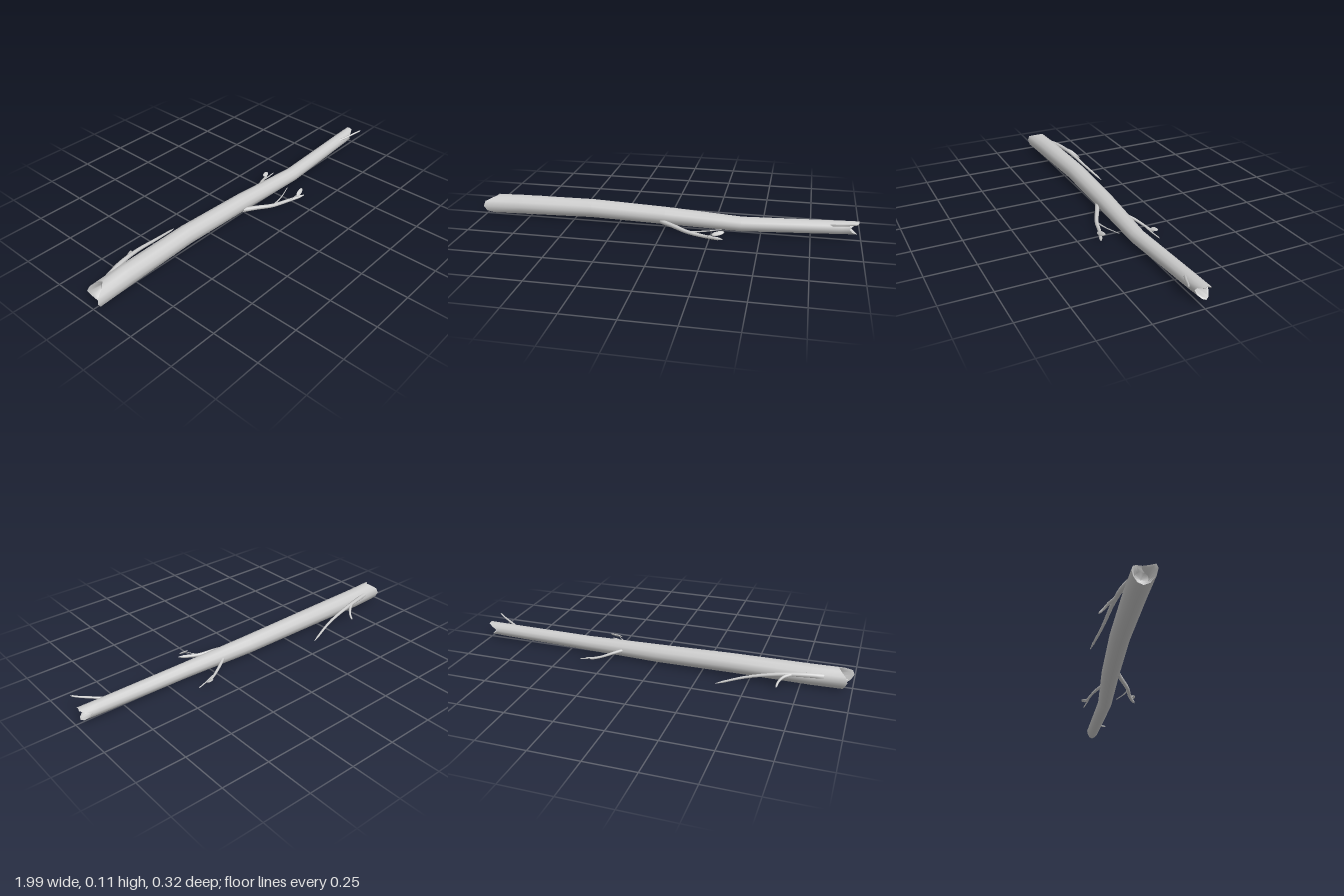
import * as THREE from 'three';
import { mergeVertices, toCreasedNormals } from 'three/addons/utils/BufferGeometryUtils.js';

const SIDES = 12;
const mat = new THREE.MeshStandardMaterial({ color: 0xcccccc, side: THREE.DoubleSide });
const V = (p) => new THREE.Vector3(...p);

// Log spine: x, centre y, centre z, radius
const SPINE = [
  [-0.93, 0.064, -0.013, 0.055], [-0.8, 0.065, -0.019, 0.053], [-0.4, 0.069, -0.027, 0.05],
  [0, 0.06, -0.02, 0.047], [0.4, 0.052, -0.001, 0.039], [0.9, 0.068, -0.015, 0.035],
];
// Ragged x of each broken rim, going round from the front over the top
const LEFT = [-1, -0.99, -0.95, -0.925, -0.94, -0.965, -0.975, -0.965, -0.955, -0.95, -0.955, -0.985];
const RIGHT = [0.94, 0.955, 0.985, 0.985, 0.99, 0.965, 0.935, 0.95, 0.97, 0.98, 0.975, 0.955];

// One ring of the log; x is a number or a per-side list
function ring(x, y, z, r) {
  return Array.from({ length: SIDES }, (_, j) => {
    const a = (j / SIDES) * Math.PI * 2;
    const k = r * (1 + 0.03 * Math.sin(j * 2.4));
    return [Array.isArray(x) ? x[j] : x, y + Math.sin(a) * k, z + Math.cos(a) * k];
  });
}

// Skin a list of rings into one surface
function loft(rings) {
  const index = [];
  for (let i = 0; i < rings.length - 1; i++) {
    for (let j = 0; j < SIDES; j++) {
      const k = (j + 1) % SIDES;
      const a = i * SIDES + j, d = i * SIDES + k;
      index.push(a, a + SIDES, d + SIDES, a, d + SIDES, d);
    }
  }
  const g = new THREE.BufferGeometry();
  g.setAttribute('position', new THREE.Float32BufferAttribute(rings.flat(2), 3));
  g.setIndex(index);
  return toCreasedNormals(g, 0.8);
}

// Tapered, slightly crooked branch through a few points
function branch(name, points, r0, r1, sides = 7) {
  const curve = new THREE.CatmullRomCurve3(points.map(V));
  const seg = 14;
  const g = new THREE.TubeGeometry(curve, seg, 1, sides, false);
  const pos = g.attributes.position, v = new THREE.Vector3();
  for (let i = 0; i <= seg; i++) {
    const c = curve.getPointAt(i / seg);
    const r = i === seg ? r1 * 0.3 : r0 + (r1 - r0) * Math.pow(i / seg, 0.8);
    for (let j = 0; j <= sides; j++) {
      const n = i * (sides + 1) + j;
      v.fromBufferAttribute(pos, n).sub(c).multiplyScalar(r).add(c);
      pos.setXYZ(n, v.x, v.y, v.z);
    }
  }
  g.deleteAttribute('uv');
  g.deleteAttribute('normal');
  const smooth = mergeVertices(g, 1e-6);
  smooth.computeVertexNormals();
  const m = new THREE.Mesh(smooth, mat);
  m.name = name;
  return m;
}

// Thin pointed leaf
function leaf(name, at, size, rot) {
  const g = new THREE.SphereGeometry(1, 10, 6);
  g.scale(...size);
  const m = new THREE.Mesh(g, mat);
  m.position.set(...at);
  m.rotation.set(...rot);
  m.name = name;
  return m;
}

export function createModel() {
  const group = new THREE.Group();
  group.name = 'fallenLog';

  // Trunk with a hollow at each splintered end
  const trunk = new THREE.Mesh(loft([
    ring(-0.9, 0.064, -0.014, 0.001),
    ring(-0.915, 0.064, -0.014, 0.03),
    ring(LEFT.map((x) => x * 0.9 - 0.085), 0.064, -0.012, 0.043),
    ring(LEFT, 0.064, -0.011, 0.053),
    ...SPINE.slice(1).map((s) => ring(...s)),
    ring(RIGHT, 0.071, -0.016, 0.034),
    ring(RIGHT.map((x) => x - 0.005), 0.071, -0.016, 0.028),
    ring(0.915, 0.069, -0.016, 0.02),
    ring(0.905, 0.069, -0.016, 0.001),
  ]), mat);
  trunk.name = 'trunk';
  group.add(trunk);

  // Front branch with a thin twig and a leaf
  group.add(
    branch('frontBranch', [[-0.02, 0.04, 0.015], [0.05, 0.034, 0.05], [0.13, 0.024, 0.09], [0.22, 0.018, 0.115], [0.32, 0.025, 0.155]], 0.013, 0.008),
    branch('frontTwig', [[0.15, 0.026, 0.092], [0.22, 0.03, 0.08], [0.31, 0.035, 0.05]], 0.005, 0.002, 5),
    branch('leafStem', [[0.22, 0.02, 0.118], [0.25, 0.03, 0.132], [0.275, 0.042, 0.141]], 0.003, 0.002, 5),
    leaf('frontLeaf', [0.295, 0.05, 0.143], [0.034, 0.012, 0.004], [-0.75, 0, 0.3]),
  );

  // Middle back branch, ending in a leaf and a twig
  group.add(
    branch('backBranch', [[0.17, 0.062, -0.035], [0.23, 0.048, -0.075], [0.29, 0.03, -0.105], [0.34, 0.02, -0.125]], 0.01, 0.005),
    branch('backTwig', [[0.28, 0.033, -0.1], [0.34, 0.02, -0.112], [0.4, 0.012, -0.125]], 0.005, 0.003, 5),
    leaf('backLeaf', [0.335, 0.03, -0.13], [0.024, 0.004, 0.013], [0.3, 0.3, 0]),
  );

  // Long back branch near the thick end, with its side twig
  group.add(
    branch('longBackBranch', [[-0.86, 0.08, -0.055], [-0.78, 0.085, -0.078], [-0.66, 0.08, -0.1], [-0.5, 0.052, -0.125], [-0.35, 0.01, -0.165]], 0.014, 0.005),
    branch('longBranchTwig', [[-0.71, 0.083, -0.092], [-0.675, 0.075, -0.118], [-0.655, 0.055, -0.14], [-0.65, 0.035, -0.16]], 0.01, 0.005),
  );

  // Small twig at the thin end
  group.add(branch('endTwig', [[0.84, 0.083, 0.005], [0.89, 0.096, 0.03], [0.94, 0.11, 0.052], [0.975, 0.122, 0.071]], 0.007, 0.004));

  return group;
}
